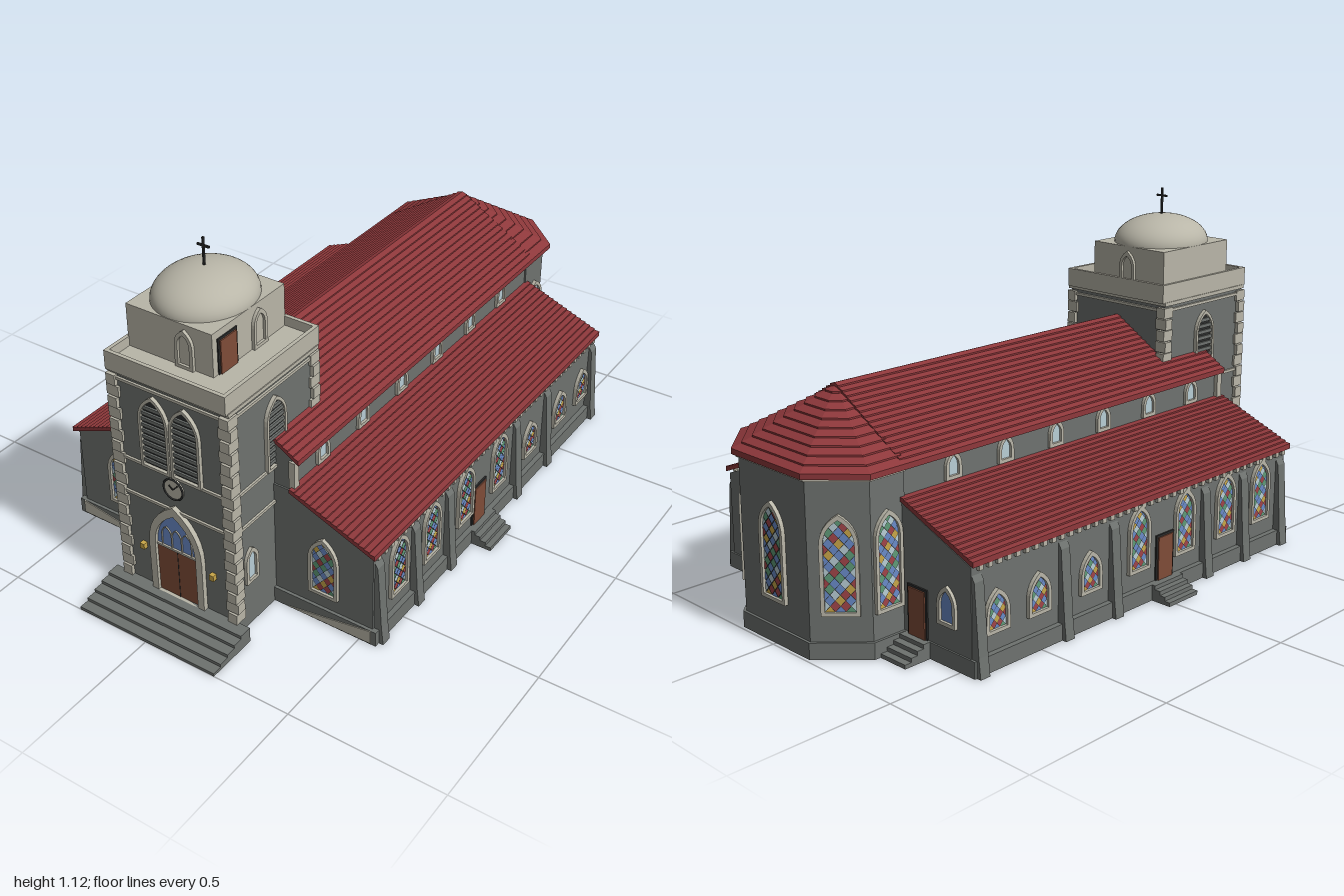
import * as THREE from 'three';
import { mergeGeometries } from 'three/addons/utils/BufferGeometryUtils.js';

const mat = (name, color, side = THREE.FrontSide) => {
  const m = new THREE.MeshStandardMaterial({ color, side });
  m.name = name;
  return m;
};

export function createModel() {
  const stone = mat('greyStone', 0x6e726f), trim = mat('paleTrim', 0xb9b6a8);
  const roof = mat('redRoof', 0x8e383b, THREE.DoubleSide), wood = mat('brownWood', 0x7f4c38);
  const iron = mat('darkIron', 0x2b2c2c), blue = mat('blueGlass', 0x6a8bc9);
  const green = mat('greenGlass', 0x5f9a78), red = mat('redGlass', 0xa04448);
  const yellow = mat('yellowGlass', 0xc9a648), pale = mat('paleGlass', 0xb8ced6);
  const model = new THREE.Group();
  model.name = 'church';

  // ---- helpers ----
  const add = (name, geo, m, parent = model, x = 0, y = 0, z = 0) => {
    const mesh = new THREE.Mesh(geo, m);
    mesh.name = name;
    mesh.position.set(x, y, z);
    parent.add(mesh);
    return mesh;
  };
  // box given by its limits
  const boxGeo = (x0, x1, y0, y1, z0, z1) =>
    new THREE.BoxGeometry(x1 - x0, y1 - y0, z1 - z0).translate((x0 + x1) / 2, (y0 + y1) / 2, (z0 + z1) / 2);
  const box = (name, m, ...b) => add(name, boxGeo(...b), m);
  const poly = pts => new THREE.Shape(pts.map(p => new THREE.Vector2(p[0], p[1])));
  const extrude = (shape, depth) => new THREE.ExtrudeGeometry(shape, { depth, bevelEnabled: false, curveSegments: 6 });
  // pointed arch outline, counter-clockwise from the sill
  const lancet = (w, h, y0 = 0) => {
    const s = new THREE.Shape(), a = w / 2, spring = h - w * 0.85;
    s.moveTo(-a, y0).lineTo(a, y0).lineTo(a, spring);
    s.quadraticCurveTo(a, h - w * 0.3, 0, h);
    s.quadraticCurveTo(-a, h - w * 0.3, -a, spring);
    return s;
  };
  const archFrame = (w, h, t, d) => {
    const s = lancet(w + 2 * t, h + 1.4 * t, -t);
    s.holes.push(lancet(w, h));
    return extrude(s, d);
  };
  // clip a polygon to a convex outline
  const clip = (pts, shape) => {
    const c = shape.getPoints(6);
    c.forEach((a, i) => {
      const b = c[(i + 1) % c.length], out = [];
      const side = p => (b.x - a.x) * (p[1] - a.y) - (b.y - a.y) * (p[0] - a.x);
      pts.forEach((p, j) => {
        const q = pts[(j + 1) % pts.length], sp = side(p), sq = side(q);
        if (sp >= 0) out.push(p);
        if ((sp > 0 && sq < 0) || (sp < 0 && sq > 0)) {
          const t = sp / (sp - sq);
          out.push([p[0] + (q[0] - p[0]) * t, p[1] + (q[1] - p[1]) * t]);
        }
      });
      pts = out;
    });
    return pts;
  };
  const mount = (name, x, y, z, turn) => {
    const g = new THREE.Group();
    g.name = name;
    g.position.set(x, y, z);
    g.rotation.y = turn;
    model.add(g);
    return g;
  };
  const R = Math.PI / 2;

  // pointed window with diamond panes
  const panes = [blue, red, green, pale, yellow, blue, green, red, blue, pale];
  const stained = (x, y, z, turn, w, h) => {
    const g = mount('stainedWindow', x, y, z, turn), outline = lancet(w, h);
    add('windowFrame', archFrame(w, h, 0.011, 0.012), trim, g);
    add('windowLead', new THREE.ShapeGeometry(outline, 6), iron, g, 0, 0, 0.002);
    const dx = w / 6, dy = dx * 1.15, sets = new Map();
    for (let j = 0; j * dy < h + dy; j++) for (let i = -3; i <= 3; i++) {
      if ((i + j) % 2) continue;
      const cx = i * dx, cy = j * dy, k = 0.93;
      const p = clip([[cx - dx * k, cy], [cx, cy - dy * k], [cx + dx * k, cy], [cx, cy + dy * k]], outline);
      if (p.length < 3) continue;
      const m = panes[(i * 3 + j * 7 + ((i * j) & 3) + 90) % panes.length];
      sets.set(m, [...(sets.get(m) || []), poly(p)]);
    }
    sets.forEach((s, m) => add('windowPanes', new THREE.ShapeGeometry(s), m, g, 0, 0, 0.004));
  };
  // pointed opening with slats
  const louvre = (x, y, z, turn, w, h) => {
    const g = mount('louvredOpening', x, y, z, turn), outline = lancet(w, h), slats = [];
    add('openingFrame', archFrame(w, h, 0.009, 0.012), trim, g);
    add('openingDark', new THREE.ShapeGeometry(outline, 6), iron, g, 0, 0, 0.002);
    for (let sy = 0.008; sy < h - 0.02; sy += 0.02) {
      const p = clip([[-w, sy], [w, sy], [w, sy + 0.011], [-w, sy + 0.011]], outline);
      if (p.length > 2) slats.push(poly(p));
    }
    add('slats', extrude(slats, 0.006), stone, g, 0, 0, 0.002);
  };
  const smallWindow = (x, y, z, turn, w, h, m = pale) => {
    const g = mount('smallWindow', x, y, z, turn);
    add('smallFrame', archFrame(w, h, 0.011, 0.01), trim, g);
    add('smallPane', new THREE.ShapeGeometry(lancet(w, h), 6), m, g, 0, 0, 0.002);
  };
  const plainDoor = (x, y, z, turn, w, h) => {
    const g = mount('sideDoor', x, y, z, turn);
    add('doorSurround', boxGeo(-w / 2 - 0.007, w / 2 + 0.007, 0, h + 0.007, -0.004, 0.004), iron, g);
    add('doorLeaf', boxGeo(-w / 2, w / 2, 0, h, 0, 0.008), wood, g);
  };
  const steps = (x, z, turn, w, run, n) => {
    const g = mount('steps', x, 0, z, turn);
    for (let i = 0; i < n; i++) add('step', boxGeo(-w / 2, w / 2, 0, 0.05 * (i + 1) / n, -0.01, run * (n - i) / n), stone, g);
  };
  // roof slope in overlapping courses, from eave to top
  const roofSlope = (name, e, t, n, z0, z1) => {
    const pts = [[e[0], e[1] - 0.012]];
    for (let i = 0; i < n; i++) {
      const at = f => [e[0] + (t[0] - e[0]) * f, e[1] + (t[1] - e[1]) * f];
      const a = at(i / n), b = at((i + 1) / n);
      pts.push([a[0], a[1] + 0.005], b);
    }
    pts.push([t[0], t[1] - 0.012]);
    add(name, extrude(poly(pts), z1 - z0), roof, model, 0, 0, z0);
  };

  // ---- base, nave and aisles ----
  box('plinth', stone, -0.557, 0.557, 0, 0.05, -0.755, 0.65);
  add('aisleWalls', extrude(poly([[-0.54, 0], [0.54, 0], [0.54, 0.312], [0.26, 0.425], [-0.26, 0.425], [-0.54, 0.312]]), 1.39), stone, model, 0, 0, -0.75);
  add('naveWalls', extrude(poly([[-0.265, 0.3], [0.265, 0.3], [0.265, 0.53], [0, 0.69], [-0.265, 0.53]]), 1.38), stone, model, 0, 0, -0.745);

  const buttressShape = s => poly([[0.53, 0], [0.572, 0], [0.565, 0.06], [0.55, 0.27], [0.53, 0.305]].map(p => [p[0] * s, p[1]]));
  for (const s of [-1, 1]) {
    roofSlope('aisleRoof', [s * 0.553, 0.327], [s * 0.266, 0.44], 16, -0.755, 0.655);
    roofSlope('naveRoof', [s * 0.29, 0.533], [0, 0.708], 16, -0.755, 0.64);
    for (const z of [-0.73, -0.4, -0.19, 0.23, 0.42, 0.615])
      add('buttress', extrude(buttressShape(s), 0.035), stone, model, 0, 0, z - 0.0175);
    const dentils = [];
    for (let i = 0; i < 40; i++) {
      const z = -0.73 + i * 0.0345;
      dentils.push(boxGeo(s * 0.545 - 0.006, s * 0.545 + 0.006, 0.3, 0.316, z, z + 0.016));
    }
    add('eaveDentils', mergeGeometries(dentils), trim);
    // side windows and door
    for (const z of [0.51, 0.33, 0.13, -0.08]) stained(s * 0.54, 0.115, z, s * R, 0.072, 0.18);
    for (const z of [-0.29, -0.5, -0.66]) stained(s * 0.54, 0.115, z, s * R, 0.066, 0.1);
    for (const z of [0.49, 0.28, 0.065, -0.145, -0.355, -0.56]) smallWindow(s * 0.265, 0.455, z, s * R, 0.038, 0.058);
    plainDoor(s * 0.541, 0.045, 0.04, s * R, 0.065, 0.14);
    steps(s * 0.55, 0.035, s * R, 0.13, 0.075, 4);
    // front end of each aisle
    stained(s * 0.375, 0.11, 0.64, 0, 0.078, 0.18);
    add('plinthFacing', extrude(poly([[s * 0.54, 0.05], [s * 0.54, 0.005], [s * 0.25, 0.003]]), 0.004), trim, model, 0, 0, 0.649);
    box('naveCorner', trim, s * 0.268 - 0.01, s * 0.268 + 0.01, 0.42, 0.525, 0.62, 0.642);
  }
  // rear of the aisles
  smallWindow(0.4, 0.13, -0.75, Math.PI, 0.05, 0.09, blue);
  smallWindow(-0.45, 0.13, -0.75, Math.PI, 0.05, 0.09, blue);
  plainDoor(-0.33, 0.05, -0.751, Math.PI, 0.065, 0.14);
  steps(-0.33, -0.755, Math.PI, 0.1, 0.09, 4);

  // ---- apse ----
  const ring = (a, b, c, d) => [[a, 0.74], [a, c], [b, d], [-b, d], [-a, c], [-a, 0.74]];
  const upright = (pts, h) => extrude(poly(pts), h).rotateX(-R);
  add('apseWalls', upright(ring(0.27, 0.148, 0.86, 0.982), 0.53), stone);
  add('apsePlinth', upright(ring(0.278, 0.152, 0.864, 0.99), 0.05), stone);
  add('apseCornice', upright(ring(0.277, 0.151, 0.863, 0.989), 0.014), trim, model, 0, 0.512, 0);
  for (const s of [-1, 1]) {
    stained(s * 0.27, 0.14, -0.805, s * R, 0.075, 0.265);
    stained(s * 0.209, 0.14, -0.921, Math.PI - s * Math.PI / 4, 0.085, 0.265);
  }
  stained(0, 0.14, -0.982, Math.PI, 0.085, 0.265);
  // hipped roof in courses narrowing to the apex
  const eave = ring(0.29, 0.155, 0.872, 1.0), verts = [], courses = 10, levels = [[0, -0.012]];
  for (let i = 0; i < courses; i++) levels.push([i / courses, 0.005], [(i + 1) / courses, 0]);
  const point = (p, [t, lift]) => [p[0] * (1 - t), 0.533 + 0.167 * t + lift, -p[1] * (1 - t) - 0.75 * t];
  for (let l = 0; l < levels.length - 1; l++) for (let i = 0; i < eave.length - 1; i++) {
    const a = point(eave[i], levels[l]), b = point(eave[i + 1], levels[l]);
    const c = point(eave[i + 1], levels[l + 1]), d = point(eave[i], levels[l + 1]);
    verts.push(...a, ...b, ...c, ...a, ...c, ...d);
  }
  const hip = new THREE.BufferGeometry();
  hip.setAttribute('position', new THREE.Float32BufferAttribute(verts, 3));
  hip.computeVertexNormals();
  add('apseRoof', hip, roof);

  // ---- tower ----
  box('towerWalls', stone, -0.203, 0.203, 0, 0.775, 0.43, 0.83);
  const quoins = [];
  for (let i = 0; i < 19; i++) for (const sx of [-1, 1]) for (const sz of [-1, 1]) {
    const lx = i % 2 ? 0.043 : 0.032, lz = i % 2 ? 0.032 : 0.043, y = 0.05 + i * 0.0375;
    const ex = sx * (i % 2 ? 0.215 : 0.211), ez = 0.63 + sz * (i % 2 ? 0.208 : 0.212);
    quoins.push(boxGeo(Math.min(ex, ex - sx * lx), Math.max(ex, ex - sx * lx), y, y + 0.034,
      Math.min(ez, ez - sz * lz), Math.max(ez, ez - sz * lz)));
  }
  add('quoins', mergeGeometries(quoins), trim);
  for (const [y, h] of [[0.36, 0.009], [0.482, 0.009], [0.745, 0.009], [0.765, 0.012]])
    box('stringCourse', trim, -0.21, 0.21, y, y + h, 0.423, 0.837);
  box('parapetFloor', trim, -0.207, 0.207, 0.775, 0.805, 0.42, 0.845);
  const rim = poly([[-0.207, -0.845], [0.207, -0.845], [0.207, -0.415], [-0.207, -0.415]]);
  rim.holes.push(poly([[-0.195, -0.833], [0.195, -0.833], [0.195, -0.427], [-0.195, -0.427]]));
  add('parapet', extrude(rim, 0.06).rotateX(-R), trim, model, 0, 0.775, 0);

  // belfry openings
  for (const s of [-1, 1]) {
    louvre(s * 0.054, 0.495, 0.83, 0, 0.086, 0.225);
    louvre(s * 0.203, 0.495, 0.63, s * R, 0.075, 0.215);
    smallWindow(s * 0.203, 0.17, 0.76, s * R, 0.035, 0.095);
    box('lantern', yellow, s * 0.127 - 0.008, s * 0.127 + 0.008, 0.177, 0.196, 0.83, 0.845);
  }
  // clock
  const clock = mount('clock', 0, 0.442, 0.83, 0);
  add('clockFace', new THREE.CylinderGeometry(0.035, 0.035, 0.012, 32).rotateX(R), trim, clock);
  add('clockRing', new THREE.TorusGeometry(0.034, 0.003, 6, 32), iron, clock, 0, 0, 0.006);
  for (const [a, l] of [[0.9, 0.018], [-0.75, 0.026]])
    add('clockHand', new THREE.BoxGeometry(0.004, l, 0.003).translate(0, l / 2, 0).rotateZ(a), iron, clock, 0, 0, 0.007);

  // main entrance
  const entry = mount('entrance', 0, 0.05, 0.83, 0);
  add('entranceArch', archFrame(0.146, 0.3, 0.023, 0.016), trim, entry);
  add('entranceDoor', boxGeo(-0.073, 0.073, 0, 0.17, 0, 0.006), wood, entry);
  add('doorSplit', boxGeo(-0.001, 0.001, 0, 0.17, 0, 0.007), iron, entry);
  const fan = clip([[-0.1, 0.17], [0.1, 0.17], [0.1, 0.32], [-0.1, 0.32]], lancet(0.146, 0.3));
  add('fanlight', new THREE.ShapeGeometry(poly(fan)), blue, entry, 0, 0, 0.004);
  add('transom', boxGeo(-0.073, 0.073, 0.168, 0.175, 0, 0.01), trim, entry);
  for (const x of [-0.036, 0, 0.036]) add('tracery', archFrame(0.032, 0.066, 0.003, 0.004), trim, entry, x, 0.175, 0.004);
  steps(0, 0.84, 0, 0.494, 0.16, 5);

  // lantern room, dome and cross
  box('lanternRoom', trim, -0.198, 0.098, 0.8, 0.94, 0.425, 0.752);
  add('dome', new THREE.SphereGeometry(1, 40, 14, 0, Math.PI * 2, 0, R).scale(0.148, 0.09, 0.163), trim, model, -0.05, 0.94, 0.588);
  smallWindow(0.005, 0.815, 0.752, 0, 0.04, 0.095, trim);
  smallWindow(0.098, 0.815, 0.55, R, 0.04, 0.095, trim);
  smallWindow(-0.05, 0.815, 0.425, Math.PI, 0.04, 0.095, trim);
  plainDoor(0.098, 0.805, 0.69, R, 0.07, 0.105);
  box('crossPost', iron, -0.053, -0.047, 1.02, 1.115, 0.585, 0.591);
  box('crossBar', iron, -0.071, -0.029, 1.086, 1.092, 0.585, 0.591);
  return model;
}
